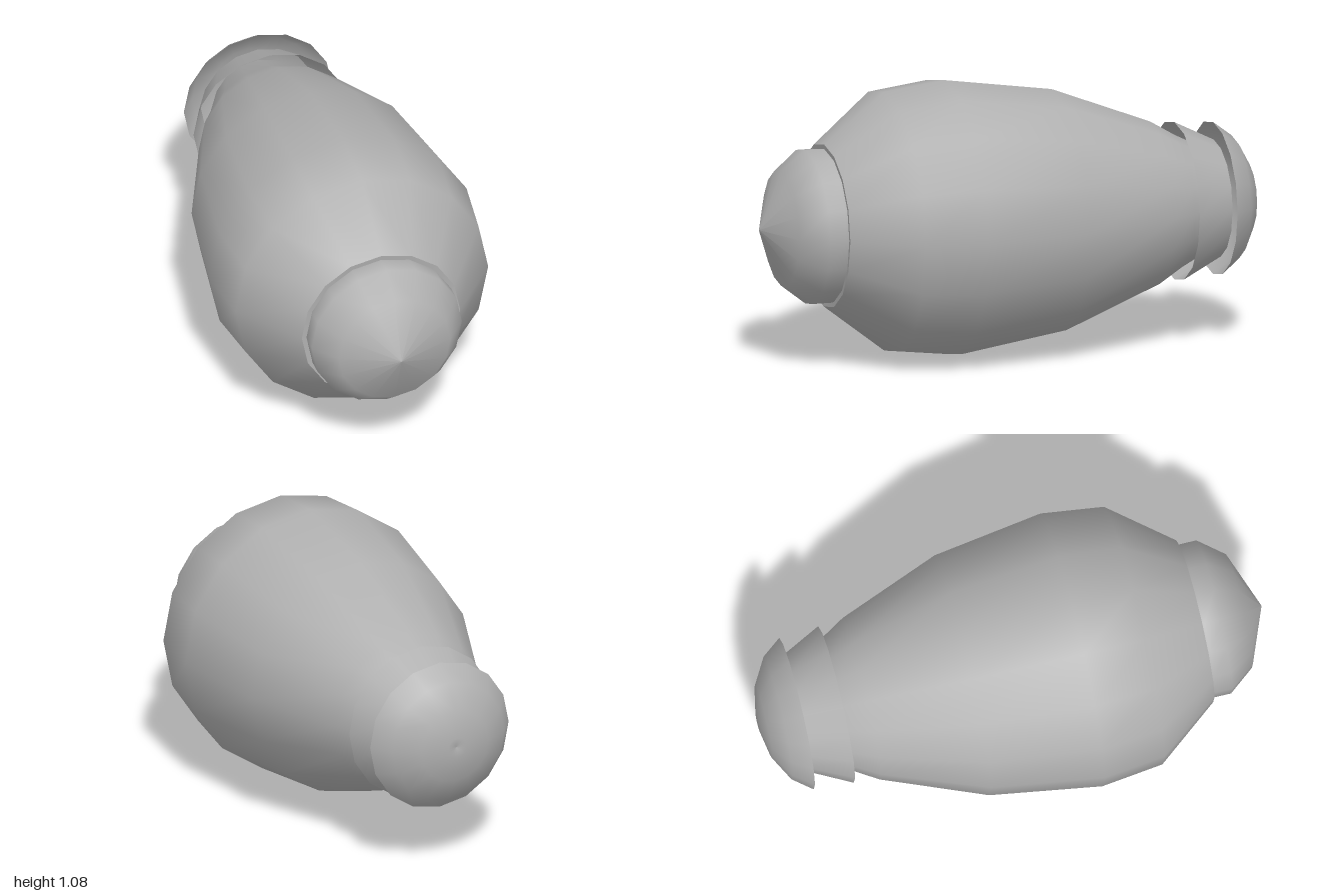
import * as THREE from 'three';

const SIDES = 16;
const AXIS_HEIGHT = 0.54;

export function createModel() {
  const group = new THREE.Group();
  const grey = new THREE.MeshStandardMaterial({ color: 0xb0b0b0, side: THREE.DoubleSide });
  grey.name = 'grey';

  // Turned shell lying along z; profile is [z, radius] from back to front
  function addShell(name, profile) {
    const points = profile.map(([z, r]) => new THREE.Vector2(r, z));
    const geometry = new THREE.LatheGeometry(points, SIDES);
    geometry.rotateX(Math.PI / 2);
    const mesh = new THREE.Mesh(geometry, grey);
    mesh.name = name;
    mesh.position.y = AXIS_HEIGHT;
    group.add(mesh);
  }

  // Barrel-shaped body, tapering to the back
  addShell('body', [
    [-0.85, 0.18], [-0.69, 0.26], [-0.59, 0.32], [-0.19, 0.475],
    [0.245, 0.54], [0.49, 0.51], [0.735, 0.32],
  ]);

  // Inner lip closing the gap between body and nose
  addShell('frontLip', [[0.735, 0.32], [0.73, 0.27]]);

  // Pointed nose at the front
  addShell('nose', [
    [0.72, 0.298], [0.745, 0.303], [0.81, 0.303], [0.91, 0.225], [1.0, 0],
  ]);

  // Flared collar around the narrow end
  addShell('collar', [[-0.85, 0.23], [-0.69, 0.31]]);

  // Domed tail cap with a small dimple at its tip
  addShell('tailCap', [
    [-0.99, 0], [-1.0, 0.04], [-0.978, 0.145], [-0.922, 0.243], [-0.847, 0.30],
  ]);

  return group;
}
